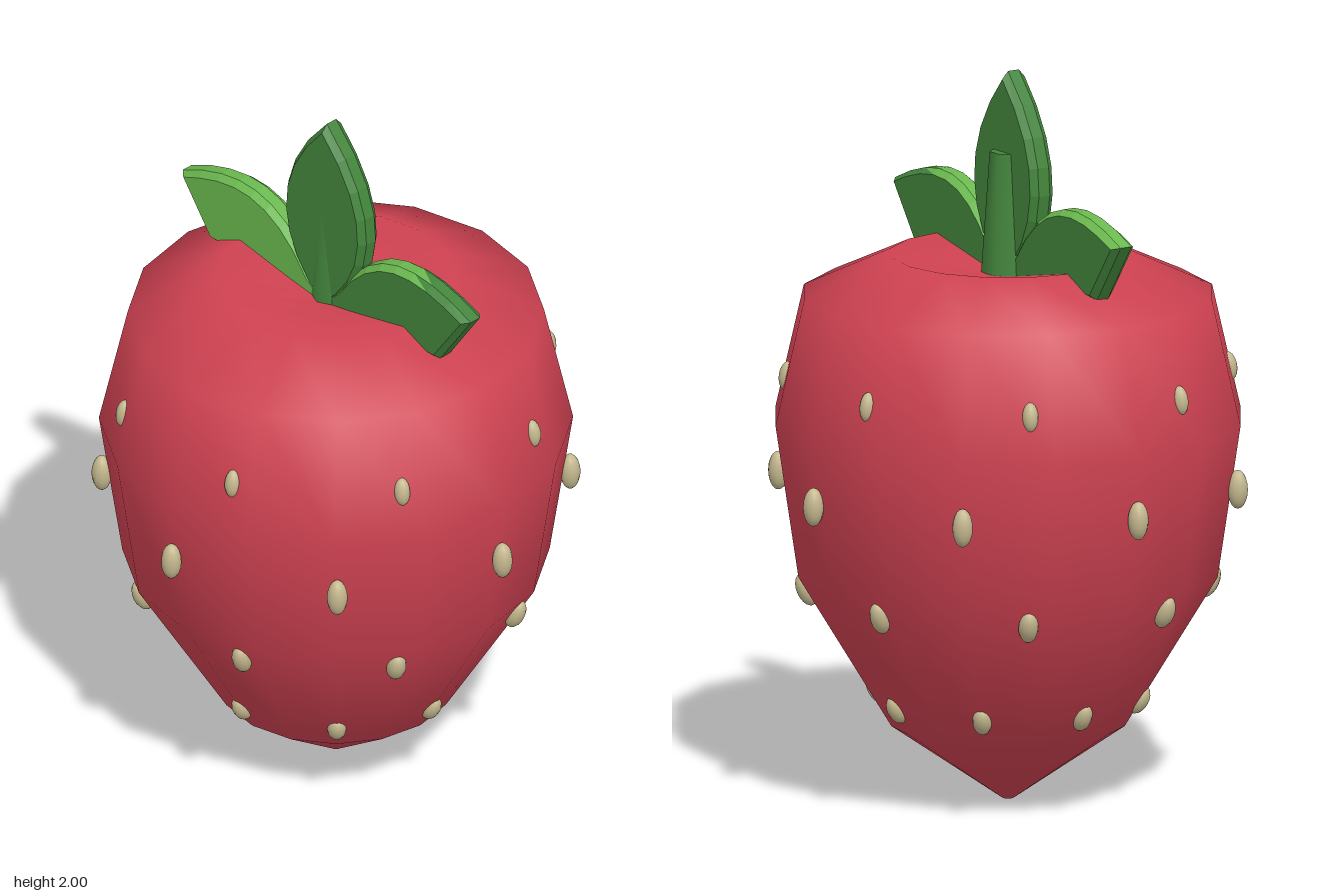
import * as THREE from 'three';

const red = new THREE.MeshStandardMaterial({ name: 'berryRed', color: 0xd04252 });
const dark = new THREE.MeshStandardMaterial({ name: 'leafGreen', color: 0x43853c });
const light = new THREE.MeshStandardMaterial({ name: 'lightLeafGreen', color: 0x6ab84f });
const beige = new THREE.MeshStandardMaterial({ name: 'seedBeige', color: 0xc4b88e });

// Thick leaf with a chamfered edge; isLight(normal, centre) picks each face's green
function makeLeaf(name, shape, isLight) {
  const geo = new THREE.ExtrudeGeometry(shape, {
    depth: 0.035, curveSegments: 8, bevelEnabled: true,
    bevelThickness: 0.019, bevelSize: 0.015, bevelOffset: -0.015, bevelSegments: 1,
  });
  const pos = geo.attributes.position;
  const tri = new THREE.Triangle();
  const n = new THREE.Vector3();
  const c = new THREE.Vector3();
  geo.clearGroups();
  for (let i = 0; i < pos.count; i += 3) {
    tri.setFromAttributeAndIndices(pos, i, i + 1, i + 2);
    tri.getNormal(n);
    tri.getMidpoint(c);
    geo.addGroup(i, 3, isLight(n, c) ? 1 : 0);
  }
  const mesh = new THREE.Mesh(geo, [dark, light]);
  mesh.name = name;
  return mesh;
}

// Drooping side leaf, s = 1 for +x and -1 for -x
function sideLeafShape(s) {
  const shape = new THREE.Shape();
  shape.moveTo(0, 1.38);
  shape.lineTo(0, 1.46);
  shape.lineTo(s * 0.05, 1.5);
  shape.bezierCurveTo(s * 0.18, 1.7, s * 0.34, 1.71, s * 0.545, 1.61);
  shape.lineTo(s * 0.43, 1.445);
  shape.quadraticCurveTo(s * 0.2, 1.45, 0, 1.38);
  return shape;
}

export function createModel() {
  const model = new THREE.Group();
  model.name = 'strawberry';

  // Berry with a shallow dip on top
  const profile = [
    [0, 0], [0.015, 0], [0.32, 0.21], [0.575, 0.63], [0.638, 1.05],
    [0.56, 1.39], [0.32, 1.5], [0, 1.435],
  ].map(([x, y]) => new THREE.Vector2(x, y));
  const berry = new THREE.Mesh(new THREE.LatheGeometry(profile, 16), red);
  berry.name = 'berry';
  model.add(berry);

  // Stem
  const stem = new THREE.Mesh(new THREE.CylinderGeometry(0.05, 0.075, 0.36, 7), dark);
  stem.name = 'stem';
  stem.position.y = 1.6;
  model.add(stem);

  // Leaves
  const upright = new THREE.Shape();
  upright.moveTo(0, 1.42);
  upright.bezierCurveTo(0.18, 1.56, 0.22, 1.78, 0, 2);
  upright.bezierCurveTo(-0.22, 1.78, -0.18, 1.56, 0, 1.42);
  model.add(
    makeLeaf('uprightLeaf', upright, () => false),
    makeLeaf('leftLeaf', sideLeafShape(1), (n, c) => n.y > 0.4 && c.x < 0.36),
    makeLeaf('rightLeaf', sideLeafShape(-1), (n) => n.z > 0.5 || n.y > 0.3),
  );

  // Seeds in four rings of eight: height, ring radius, turn, half width, half height, lean
  const rings = [
    [0.285, 0.36, 0, 0.026, 0.042, 0.5],
    [0.585, 0.545, 17, 0.027, 0.047, 0.4],
    [0.875, 0.63, 0, 0.028, 0.053, 0],
    [1.175, 0.598, 17, 0.022, 0.04, -0.15],
  ];
  const seedGeo = new THREE.SphereGeometry(1, 12, 10);
  const seeds = new THREE.Group();
  seeds.name = 'seeds';
  for (const [y, r, turn, w, h, lean] of rings) {
    for (let i = 0; i < 8; i++) {
      const a = THREE.MathUtils.degToRad(turn + i * 45);
      const seed = new THREE.Mesh(seedGeo, beige);
      seed.name = 'seed';
      seed.position.set(r * Math.sin(a), y, r * Math.cos(a));
      seed.rotation.set(lean, a, 0, 'YXZ');
      seed.scale.set(w, h, w);
      seeds.add(seed);
    }
  }
  model.add(seeds);
  return model;
}
